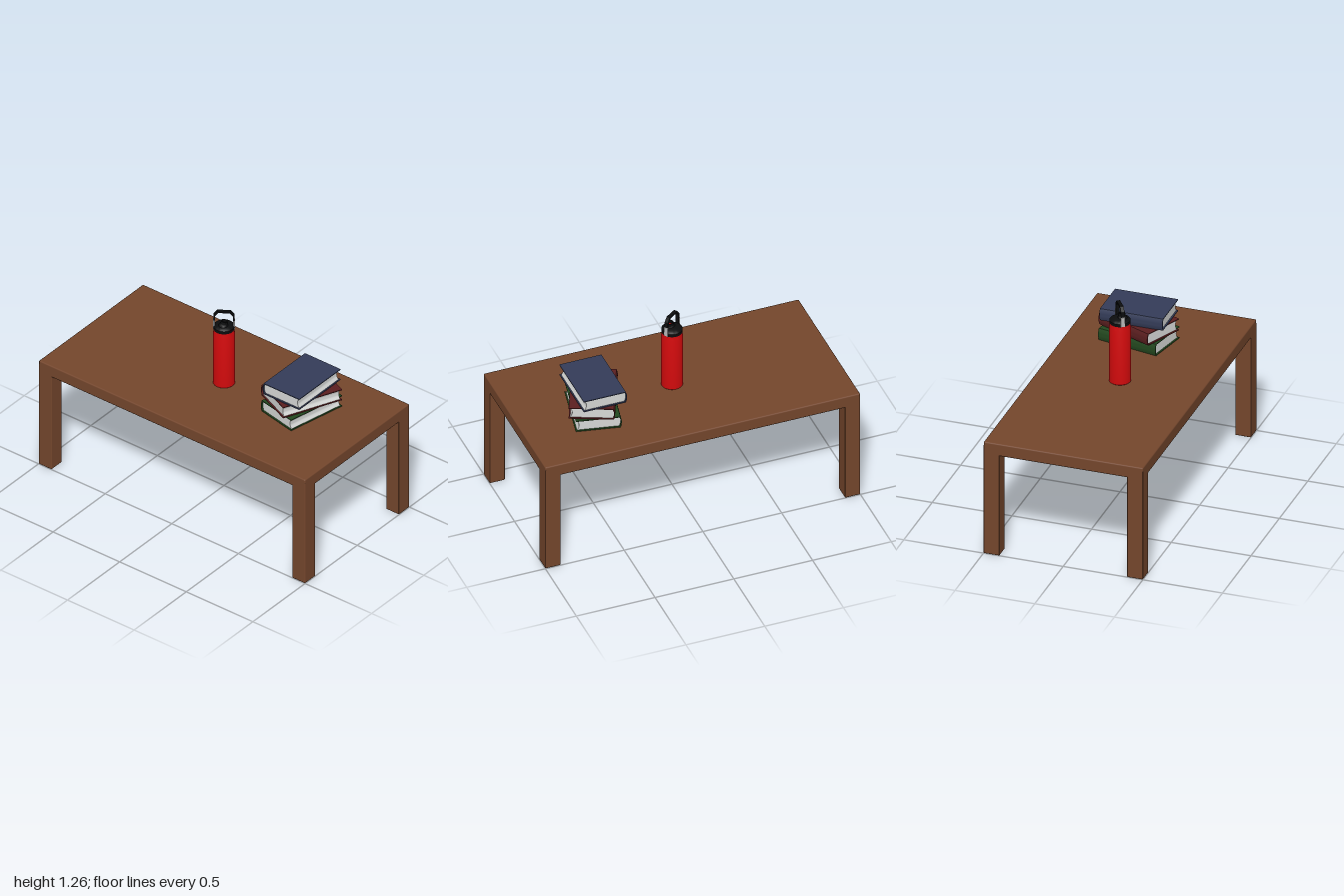
import * as THREE from 'three';
import { toCreasedNormals } from 'three/addons/utils/BufferGeometryUtils.js';
import { RoundedBoxGeometry } from 'three/addons/geometries/RoundedBoxGeometry.js';

const mat = (name, color) => {
  const m = new THREE.MeshStandardMaterial({ color });
  m.name = name;
  return m;
};

const TABLE_TOP = 0.745;

function add(parent, name, geometry, material, x = 0, y = 0, z = 0) {
  const mesh = new THREE.Mesh(geometry, material);
  mesh.name = name;
  mesh.position.set(x, y, z);
  parent.add(mesh);
  return mesh;
}

function lathe(points, segments = 40) {
  const g = new THREE.LatheGeometry(points.map(([r, y]) => new THREE.Vector2(r, y)), segments);
  return toCreasedNormals(g, 0.5);
}

// Extrudes a side profile and centres it along z
function slab(shape, depth) {
  const g = new THREE.ExtrudeGeometry(shape, { depth, bevelEnabled: false, curveSegments: 10 });
  g.translate(0, 0, -depth / 2);
  return toCreasedNormals(g, 0.5);
}

function makeTable(wood) {
  const table = new THREE.Group();
  table.name = 'table';
  add(table, 'tableTop', new RoundedBoxGeometry(2, 0.08, 1, 2, 0.008), wood, 0, TABLE_TOP - 0.04, 0);
  const legHeight = TABLE_TOP - 0.02;
  const leg = new RoundedBoxGeometry(0.097, legHeight, 0.1, 2, 0.005);
  for (const sx of [-1, 1]) {
    for (const sz of [-1, 1]) add(table, 'leg', leg, wood, sx * 0.9515, legHeight / 2, sz * 0.45);
  }
  return table;
}

// Hardback: C-shaped cover with bulged spine at -x, hollow fore-edge at +x
function makeBook(name, coverMat, pageMat) {
  const book = new THREE.Group();
  book.name = name;
  const H = 0.0385, t = 0.005, right = 0.137, left = -0.124;
  const cover = new THREE.Shape();
  cover.moveTo(right, -H);
  cover.lineTo(right, -H + t);
  cover.lineTo(left, -H + t);
  cover.quadraticCurveTo(left - 0.017, 0, left, H - t);
  cover.lineTo(right, H - t);
  cover.lineTo(right, H);
  cover.lineTo(left - 0.006, H);
  cover.quadraticCurveTo(left - 0.022, 0, left - 0.006, -H);
  cover.closePath();
  add(book, 'cover', slab(cover, 0.396), coverMat);

  const P = H - t, edge = right - 0.008;
  const pages = new THREE.Shape();
  pages.moveTo(left, -P);
  pages.lineTo(edge, -P);
  pages.quadraticCurveTo(edge - 0.026, 0, edge, P);
  pages.lineTo(left, P);
  pages.quadraticCurveTo(left - 0.016, 0, left, -P);
  add(book, 'pages', slab(pages, 0.376), pageMat);
  return book;
}

function makeBottle(red, black, grey) {
  const bottle = new THREE.Group();
  bottle.name = 'bottle';
  add(bottle, 'body', lathe([[0, 0], [0.062, 0], [0.066, 0.004], [0.066, 0.355],
    [0.062, 0.372], [0.061, 0.39], [0, 0.39]]), red);
  add(bottle, 'cap', lathe([[0.056, 0.386], [0.062, 0.388], [0.063, 0.408], [0.058, 0.414],
    [0.045, 0.42], [0.03, 0.424], [0, 0.424]]), black);

  // Hollow drinking spout with a recessed seal
  const spout = new THREE.Group();
  spout.name = 'spout';
  spout.position.set(0.006, 0.415, 0.012);
  spout.rotation.set(-0.12, 0, -0.12);
  bottle.add(spout);
  add(spout, 'spoutTube', lathe([[0.032, 0], [0.026, 0.012], [0.021, 0.018], [0.02, 0.037],
    [0.014, 0.037], [0.013, 0.014]], 24), black);
  const seal = add(spout, 'spoutSeal', new THREE.CircleGeometry(0.0135, 24), red, 0, 0.016, 0);
  seal.rotation.x = -Math.PI / 2;

  // Chamfered carrying loop, turned on the cap
  const handle = new THREE.Group();
  handle.name = 'handle';
  handle.rotation.y = 0.61;
  bottle.add(handle);
  const half = [[0.063, 0.395], [0.063, 0.487], [0.04, 0.515]];
  const inner = [[0.034, 0.505], [0.053, 0.482], [0.053, 0.395]];
  const mirror = (pts) => pts.map(([x, y]) => [-x, y]).reverse();
  const outline = [...half, ...mirror(half), ...mirror(inner), ...inner];
  const loop = new THREE.Shape(outline.map(([x, y]) => new THREE.Vector2(x, y)));
  add(handle, 'handleLoop', slab(loop, 0.022), black);
  for (const s of [-1, 1]) {
    add(handle, 'handleClip', new THREE.BoxGeometry(0.009, 0.062, 0.025), grey, s * 0.0605, 0.421, 0);
  }
  return bottle;
}

export function createModel() {
  const model = new THREE.Group();
  model.name = 'tableWithBooksAndBottle';
  const wood = mat('wood', 0x74462c);
  const pages = mat('paper', 0xd6d8d6);

  model.add(makeTable(wood));

  const bottle = makeBottle(mat('bottleRed', 0xd00a0c), mat('black', 0x0c0d0e), mat('clipGrey', 0xb8b8b8));
  bottle.position.y = TABLE_TOP;
  model.add(bottle);

  // Stack of books, each turned a little differently
  const stack = [
    ['lowerBook', mat('coverGreen', 0x23481f), -0.205],
    ['middleBook', mat('coverRed', 0x5c1f20), -0.414],
    ['upperBook', mat('coverBlue', 0x343c58), 0],
  ];
  stack.forEach(([name, coverMat, turn], i) => {
    const book = makeBook(name, coverMat, pages);
    book.position.set(0.528, TABLE_TOP + 0.0395 + i * 0.078, -0.07);
    book.rotation.y = turn;
    model.add(book);
  });
  return model;
}
